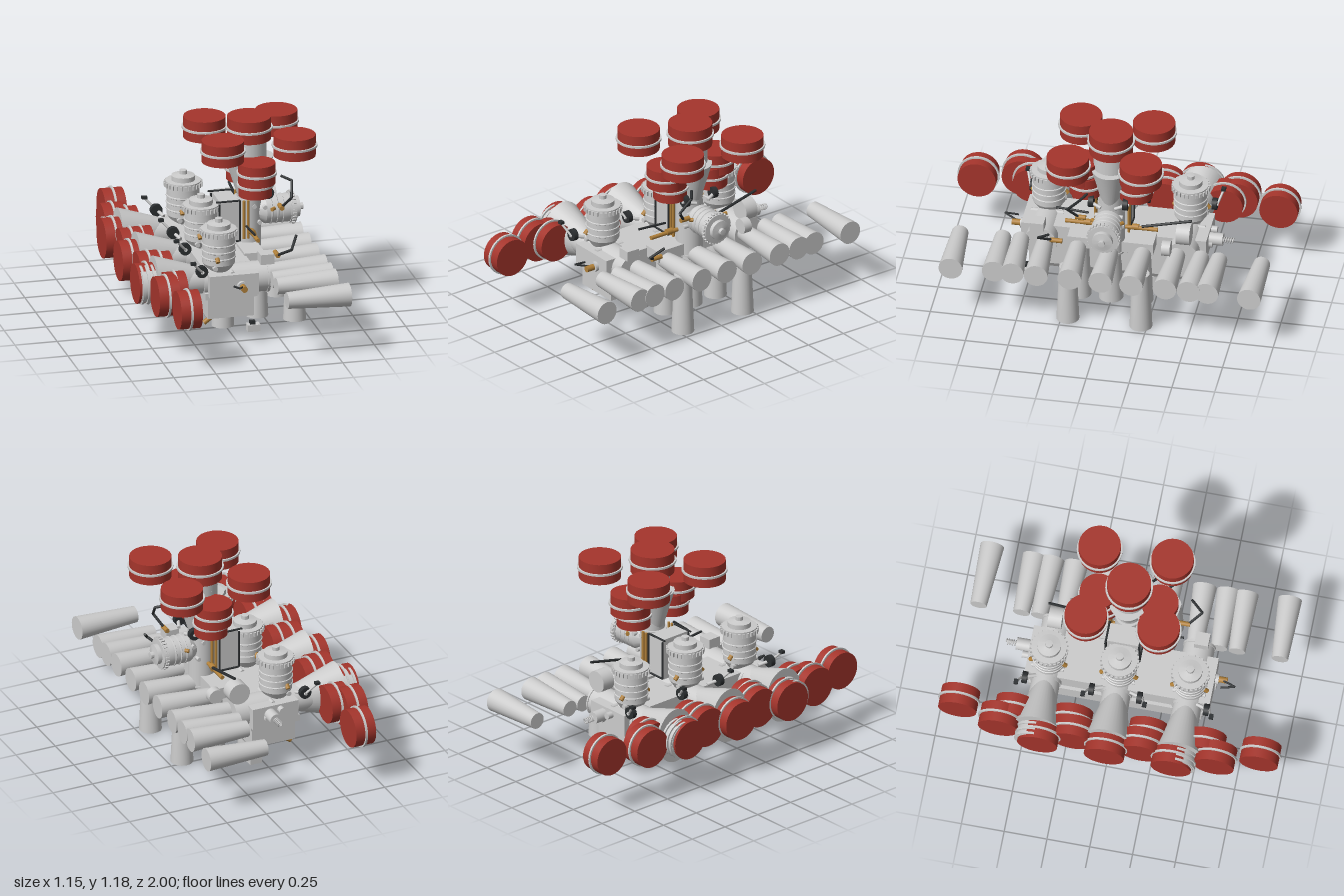
import * as THREE from 'three';
import { toCreasedNormals } from 'three/addons/utils/BufferGeometryUtils.js';

const mat = (color) => new THREE.MeshStandardMaterial({ color, side: THREE.DoubleSide });
const grey = mat(0xcccccc), red = mat(0xa5352c), black = mat(0x2c2f31), brass = mat(0xb0803a);
const V = (a) => new THREE.Vector3(...a);
const UP = new THREE.Vector3(0, 1, 0);

function add(parent, name, geo, m, pos = [0, 0, 0]) {
  const mesh = new THREE.Mesh(geo, m);
  mesh.name = name;
  mesh.position.set(...pos);
  parent.add(mesh);
  return mesh;
}
const box = (p, name, m, size, pos) => add(p, name, new THREE.BoxGeometry(...size), m, pos);

// round bar between two points, with a radius at each end
function rod(p, name, m, a, b, ra, rb = ra, sides = 28) {
  const d = V(b).sub(V(a));
  const mesh = add(p, name, new THREE.CylinderGeometry(rb, ra, d.length(), sides), m,
    V(a).addScaledVector(d, 0.5).toArray());
  mesh.quaternion.setFromUnitVectors(UP, d.normalize());
  return mesh;
}
// chain of thin bars through points
function bentRod(p, name, m, pts, r) {
  for (let i = 1; i < pts.length; i++) rod(p, name, m, pts[i - 1], pts[i], r, r, 8);
}
const lathe = (pts) => toCreasedNormals(
  new THREE.LatheGeometry(pts.map(([x, y]) => new THREE.Vector2(x, y)), 32), 0.5);

// red drum with a raised band at mid length; centre, axis direction
function drum(p, name, centre, axis, r, len) {
  const g = new THREE.Group();
  g.name = name;
  const h = len / 2;
  add(g, 'drumShell', lathe([[0, -h], [r, -h], [r, h], [0, h]]), red);
  add(g, 'drumBand', lathe([[r, -0.006], [r + 0.01, -0.006], [r + 0.01, 0.006], [r, 0.006]]), grey);
  g.position.set(...centre);
  g.quaternion.setFromUnitVectors(UP, V(axis));
  p.add(g);
}

// hand wheel with an angled arm and grip
function lever(p, x, y, z, s) {
  const g = new THREE.Group();
  g.name = 'lever';
  rod(g, 'leverWheel', black, [0, 0, -0.015], [0, 0, 0.015], 0.035);
  rod(g, 'leverShaft', grey, [0.03, -0.02, -0.06 * s], [0, 0, 0.02 * s], 0.01);
  rod(g, 'leverArm', grey, [0, 0, 0.015 * s], [-0.055, 0.06, 0.04 * s], 0.007);
  box(g, 'leverGrip', black, [0.03, 0.016, 0.025], [-0.06, 0.067, 0.04 * s]);
  g.position.set(x, y, z);
  p.add(g);
}

// flared unit: horn towards -x, barrel towards +x, round pod on top
function unit() {
  const g = new THREE.Group();
  g.name = 'unit';
  rod(g, 'barrel', grey, [-0.19, -0.01, 0], [0.2, -0.01, 0], 0.09);
  rod(g, 'barrelFlange', grey, [0.188, -0.01, 0], [0.202, -0.01, 0], 0.095);
  const horn = add(g, 'horn', new THREE.CylinderGeometry(0.165, 0.07, 0.3, 36, 1), grey, [-0.32, 0, 0]);
  horn.rotation.z = Math.PI / 2;
  horn.scale.z = 0.8;
  rod(g, 'hornThroat', grey, [-0.3, 0, 0], [-0.12, 0, 0], 0.085, 0.08);
  rod(g, 'muzzle', grey, [-0.56, 0, 0], [-0.46, 0, 0], 0.105);
  for (const x of [-0.485, -0.52, -0.55]) rod(g, 'muzzleRing', grey, [x - 0.007, 0, 0], [x + 0.007, 0, 0], 0.115);
  // pod profile with ribs and stepped cap
  const pod = [[0.03, 0], [0.095, 0.1]];
  for (const y of [0.13, 0.17, 0.21]) pod.push([0.095, y], [0.1, y + 0.003], [0.1, y + 0.009], [0.095, y + 0.012]);
  pod.push([0.095, 0.265], [0.103, 0.265], [0.103, 0.305], [0.068, 0.307], [0.068, 0.335],
    [0.035, 0.34], [0.022, 0.343], [0.022, 0.365], [0, 0.367]);
  add(g, 'pod', lathe(pod), grey, [-0.085, 0, 0]);
  for (let i = 0; i < 26; i++) {
    const a = (i / 26) * Math.PI * 2;
    box(g, 'gearTooth', grey, [0.012, 0.026, 0.014],
      [-0.085 + Math.cos(a) * 0.106, 0.285, Math.sin(a) * 0.106]).rotation.y = -a;
  }
  // bolts on both sides of the pod and barrel
  for (const s of [-1, 1]) {
    for (const [x, y, z] of [[-0.127, 0.088, 0.08], [-0.025, 0.05, 0.08], [-0.14, 0.015, 0.08]])
      rod(g, 'bolt', grey, [x, y, 0], [x, y, s * (z + 0.015)], 0.014, 0.014, 12);
    rod(g, 'podFitting', brass, [-0.115, 0.15, s * 0.085], [-0.115, 0.13, s * 0.105], 0.013, 0.013, 10);
  }
  return g;
}

export function createModel() {
  const root = new THREE.Group();
  root.name = 'machine';

  // three horizontal units and one upright one
  for (const z of [-0.413, 0, 0.413]) {
    const u = unit();
    u.position.set(0, 0.365, z);
    root.add(u);
  }
  const upright = unit();
  upright.name = 'uprightUnit';
  upright.rotation.z = -Math.PI / 2;
  upright.scale.setScalar(0.87);
  upright.position.set(0.2, 0.53, 0);
  root.add(upright);
  rod(root, 'uprightNeck', grey, [0.2, 0.93, 0], [0.2, 1.06, 0], 0.1);

  // rows of drums and tapered tubes at both ends
  const X = [1, 0, 0], Y = [0, 1, 0];
  for (const z of [0, -0.39, 0.39]) drum(root, 'sideDrum', [-0.512, 0.365, z], X, 0.117, 0.125);
  for (const s of [-1, 1]) {
    for (const z of [0.2, 0.63]) drum(root, 'sideDrum', [-0.455, 0.365, s * z], X, 0.117, 0.125);
    for (const z of [0.22, 0.56, 0.88]) drum(root, 'sideDrum', [-0.388, 0.365, s * z], X, 0.112, 0.125);
    for (const x of [-0.01, 0.415]) {
      drum(root, 'topDrum', [x, 1.063, s * 0.213], Y, 0.122, 0.127);
      rod(root, 'downTube', grey, [x, 0, s * 0.213], [x, 0.36, s * 0.213], 0.066, 0.05);
    }
    drum(root, 'topDrum', [0.2, 0.9, s * 0.18], Y, 0.107, 0.125);
    drum(root, 'topDrum', [0.2, 0.815, s * 0.145], Y, 0.097, 0.13);
    rod(root, 'downTube', grey, [0.2, 0.03, s * 0.18], [0.2, 0.38, s * 0.18], 0.066, 0.05);
    for (const z of [0.19, 0.385, 0.525, 0.63, 0.88])
      rod(root, 'sideTube', grey, [0.2, 0.365, s * z], [z > 0.8 ? 0.57 : 0.555, 0.365, s * (z - 0.01)], 0.048, 0.069);
  }
  drum(root, 'topDrum', [0.2, 1.115, 0], Y, 0.127, 0.135);
  rod(root, 'sideTube', grey, [0.2, 0.365, 0], [0.555, 0.365, 0], 0.048, 0.069);
  rod(root, 'downTube', grey, [0.2, 0.03, 0], [0.2, 0.4, 0], 0.071, 0.055);

  // connecting bed and stepped tray below
  box(root, 'bed', grey, [0.29, 0.13, 1.08], [-0.025, 0.355, 0]);
  box(root, 'bedPlate', grey, [0.31, 0.04, 1.03], [-0.035, 0.29, 0]);
  box(root, 'tray', grey, [0.275, 0.125, 0.99], [-0.033, 0.21, 0]);
  const taper = new THREE.CylinderGeometry(0.7071, 0.6, 1, 4).rotateY(Math.PI / 4);
  add(root, 'trayTaper', toCreasedNormals(taper, 0.3), grey, [-0.033, 0.132, 0]).scale.set(0.275, 0.035, 0.9);
  box(root, 'trayBottom', black, [0.18, 0.025, 0.6], [-0.045, 0.105, 0]);
  box(root, 'rearShelf', grey, [0.12, 0.07, 0.5], [0.17, 0.4, 0]);

  // housing with dark frames behind the middle pod
  box(root, 'housing', grey, [0.11, 0.25, 0.19], [0.06, 0.575, 0]);
  for (const s of [-1, 1]) {
    const z = s * 0.098;
    bentRod(root, 'housingFrame', black,
      [[-0.02, 0.705, z], [0.122, 0.705, z], [0.122, 0.46, z], [0.0, 0.46, z], [0.0, 0.69, z]], 0.006);
    for (const x of [0.145, 0.17]) rod(root, 'brassPipe', brass, [x, 0.47, z], [x, 0.7, z], 0.008, 0.008, 10);
    rod(root, 'brassSpindle', brass, [0.185, 0.515, s * 0.08], [0.185, 0.515, s * 0.27], 0.012);
    rod(root, 'brassKnob', brass, [0.185, 0.52, s * 0.12], [0.185, 0.52, s * 0.16], 0.018);
    // hanging feet at both ends
    box(root, 'endFoot', grey, [0.075, 0.04, 0.05], [0.095, 0.082, s * 0.51]);
    box(root, 'endFootCap', black, [0.03, 0.022, 0.03], [0.09, 0.112, s * 0.51]);
    rod(root, 'drainCock', brass, [-0.12, 0.14, s * 0.42], [-0.175, 0.1, s * 0.42], 0.014);
    lever(root, -0.215, 0.455, s * 0.53, s);
    lever(root, -0.215, 0.455, s * 0.14, s);
    lever(root, 0.285, 0.74, s * 0.1, s);
    rod(root, 'endBoss', grey, [0.02, 0.35, s * 0.53], [0.02, 0.35, s * 0.56], 0.03);
  }

  // front knob and cranked handle
  rod(root, 'frontKnob', brass, [0.02, 0.35, 0.54], [0.02, 0.35, 0.61], 0.018);
  bentRod(root, 'frontCrank', black, [[0.02, 0.355, 0.57], [-0.02, 0.38, 0.66], [-0.035, 0.365, 0.58]], 0.006);

  // rear plunger with coil spring
  rod(root, 'plunger', grey, [0.01, 0.37, -0.53], [0.01, 0.37, -0.62], 0.036);
  const coil = [];
  for (let i = 0; i <= 48; i++)
    coil.push(new THREE.Vector3(0.01 + 0.015 * Math.cos(i * 0.7), 0.37 + 0.015 * Math.sin(i * 0.7), -0.61 - i * 0.0015));
  add(root, 'spring', new THREE.TubeGeometry(new THREE.CatmullRomCurve3(coil), 120, 0.004, 6), grey);
  rod(root, 'rearStud', grey, [-0.055, 0.39, -0.53], [-0.055, 0.39, -0.575], 0.02);

  // fittings on the outer barrels
  box(root, 'barrelBlock', grey, [0.08, 0.06, 0.08], [0.19, 0.47, 0.43]);
  rod(root, 'crossCylinder', grey, [0.165, 0.495, -0.46], [0.165, 0.495, -0.38], 0.065);
  rod(root, 'rearRing', grey, [0.265, 0.45, -0.36], [0.265, 0.45, -0.31], 0.045);

  // bent control rods with brass ends
  bentRod(root, 'controlRod', black,
    [[0.36, 0.84, 0.11], [0.415, 0.82, 0.15], [0.395, 0.74, 0.22], [0.35, 0.665, 0.16]], 0.008);
  rod(root, 'rodEnd', brass, [0.35, 0.665, 0.12], [0.35, 0.665, 0.18], 0.014);
  bentRod(root, 'controlRod', black, [[0.395, 0.55, 0.33], [0.35, 0.49, 0.4], [0.285, 0.44, 0.33]], 0.008);
  rod(root, 'rodEnd', brass, [0.285, 0.438, 0.27], [0.285, 0.438, 0.34], 0.014);
  bentRod(root, 'controlRod', black, [[0.2, 0.61, -0.47], [0.205, 0.54, -0.18]], 0.008);
  bentRod(root, 'controlRod', black, [[0.15, 0.575, 0.33], [0.15, 0.56, 0.14]], 0.007);
  return root;
}
